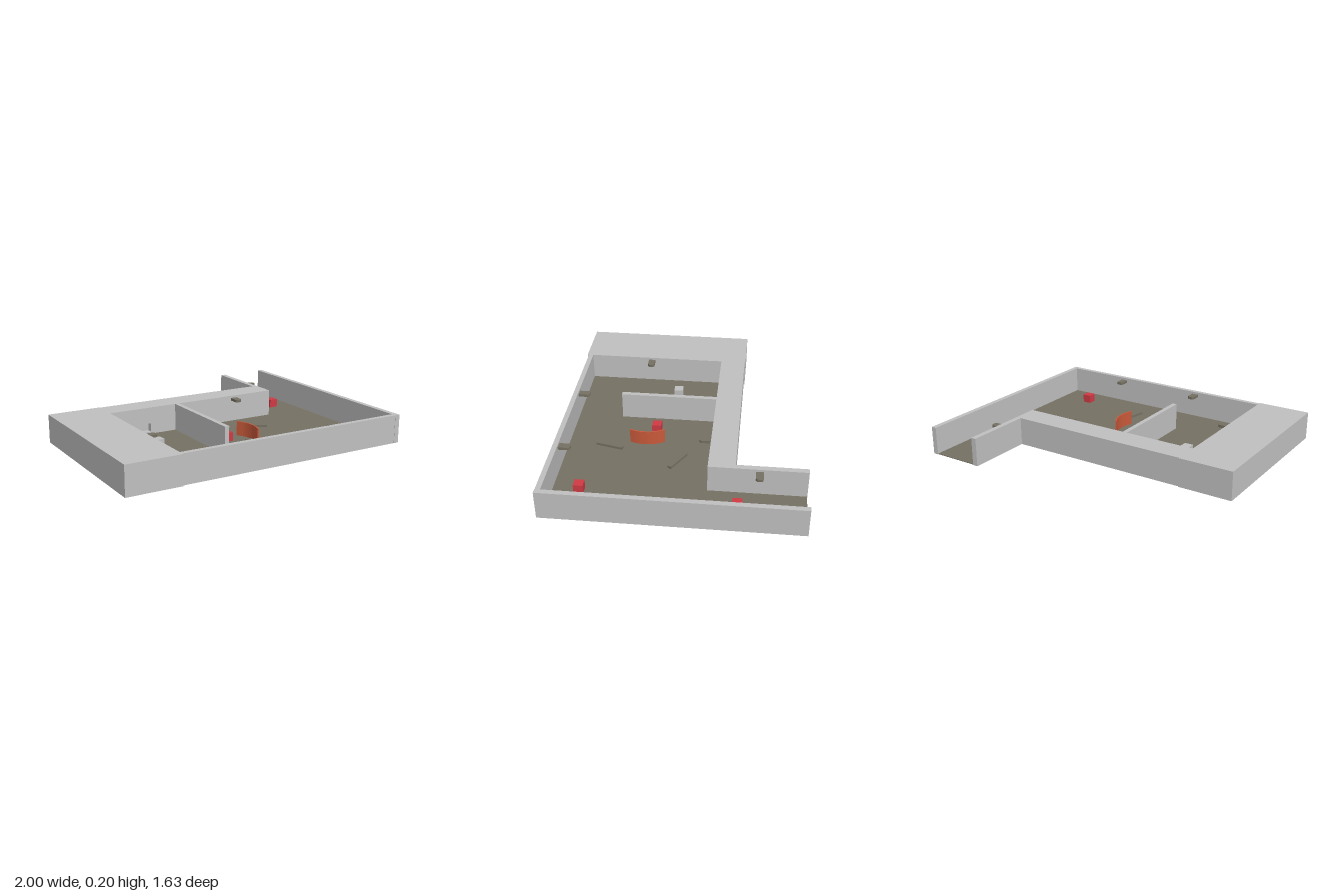
import * as THREE from 'three';

const material = (name, color) => Object.assign(new THREE.MeshStandardMaterial({ color }), { name });

export function createModel() {
  const model = new THREE.Group();
  model.name = 'roomLayout';
  const grey = material('wallGrey', 0xc0c0c0);
  const olive = material('floorOlive', 0x757062);
  const red = material('crateRed', 0xd03a44);
  const orange = material('screenOrange', 0xc8593a);

  const add = (name, geometry, mat) => {
    const mesh = new THREE.Mesh(geometry, mat);
    mesh.name = name;
    model.add(mesh);
    return mesh;
  };
  // Box given by its limits on each axis
  const block = (name, mat, x0, x1, y0, y1, z0, z1) => {
    const mesh = add(name, new THREE.BoxGeometry(x1 - x0, y1 - y0, z1 - z0), mat);
    mesh.position.set((x0 + x1) / 2, (y0 + y1) / 2, (z0 + z1) / 2);
    return mesh;
  };
  // Plan outline of [x, z] points, raised by a height
  const raise = (points, height) => new THREE.ExtrudeGeometry(
    new THREE.Shape(points.map(([x, z]) => new THREE.Vector2(x, -z))),
    { depth: height, bevelEnabled: false }
  ).rotateX(-Math.PI / 2);

  const base = 0.01, top = 0.202, floorTop = 0.016;

  // Floor with the corridor at the back
  const floor = add('floor', raise([
    [-0.635, -0.195], [0.647, -0.195], [0.647, -0.815], [0.965, -0.815],
    [0.965, 0.77], [-0.635, 0.77],
  ], 0.004), olive);
  floor.position.y = floorTop - 0.004;

  // Thick and thin walls
  const wall = (name, x0, x1, z0, z1) => block(name, grey, x0, x1, base, top, z0, z1);
  wall('leftBlock', -1, -0.635, -0.373, 0.813);
  wall('backBlock', -0.635, 0.61, -0.367, -0.235);
  wall('corridorWall', 0.61, 0.647, -0.817, -0.195);
  wall('rightWall', 0.965, 1, -0.817, 0.805);
  wall('frontWall', -0.635, 0.965, 0.77, 0.803);
  wall('dividerWall', -0.145, -0.113, -0.195, 0.463);

  // Inner skin of the back block, with a small niche
  const skin = new THREE.Shape();
  skin.moveTo(-0.635, base).lineTo(0.61, base).lineTo(0.61, top).lineTo(-0.635, top).closePath();
  const niche = new THREE.Path();
  niche.moveTo(-0.42, 0.03).lineTo(-0.42, 0.09).lineTo(-0.335, 0.09).lineTo(-0.335, 0.03).closePath();
  skin.holes.push(niche);
  add('nicheWall', new THREE.ExtrudeGeometry(skin, { depth: 0.04, bevelEnabled: false }), grey)
    .position.z = -0.235;

  // Crates on the floor
  for (const [x, z, mat] of [[-0.433, 0.1, grey], [0.03, 0.2, red], [0.805, -0.39, red], [0.725, 0.6, red]]) {
    block('crate', mat, x - 0.031, x + 0.031, floorTop - 0.003, 0.075, z - 0.031, z + 0.031);
  }

  // Flat bars lying on the floor
  for (const [x, z, turn] of [[0.37, 0.02, -0.53], [0.248, 0.492, 1.35]]) {
    const bar = add('floorBar', new THREE.BoxGeometry(0.185, 0.018, 0.026), olive);
    bar.position.set(x, floorTop + 0.008, z);
    bar.rotation.y = turn;
  }

  // Wall fixtures: small plates with rounded outer corners, pointing into the room
  const plate = new THREE.Shape();
  plate.moveTo(-0.024, 0).lineTo(0.024, 0).lineTo(0.024, 0.06);
  plate.quadraticCurveTo(0.022, 0.074, 0.01, 0.076).lineTo(-0.01, 0.076);
  plate.quadraticCurveTo(-0.022, 0.074, -0.024, 0.06).closePath();
  const plateGeometry = new THREE.ExtrudeGeometry(plate, { depth: 0.018, bevelEnabled: false, curveSegments: 4 })
    .rotateX(Math.PI / 2);
  for (const [x, z, turn] of [
    [0.647, -0.517, Math.PI / 2], [0.335, -0.195, 0], [-0.635, 0.323, Math.PI / 2],
    [-0.13, 0.77, Math.PI], [0.5, 0.77, Math.PI],
  ]) {
    const fixture = add('wallFixture', plateGeometry, olive);
    fixture.position.set(x, 0.186, z);
    fixture.rotation.y = turn;
  }

  // Curved standing screen
  const curve = new THREE.CatmullRomCurve3(
    [[0.158, 0.132], [0.186, 0.19], [0.197, 0.25], [0.193, 0.31], [0.178, 0.362]]
      .map(([x, z]) => new THREE.Vector3(x, 0, z)));
  const side = (offset) => Array.from({ length: 17 }, (_, i) => {
    const p = curve.getPoint(i / 16), t = curve.getTangent(i / 16);
    return [p.x + t.z * offset, p.z - t.x * offset];
  });
  add('curvedScreen', raise([...side(0.005), ...side(-0.005).reverse()], 0.115), orange);

  return model;
}
